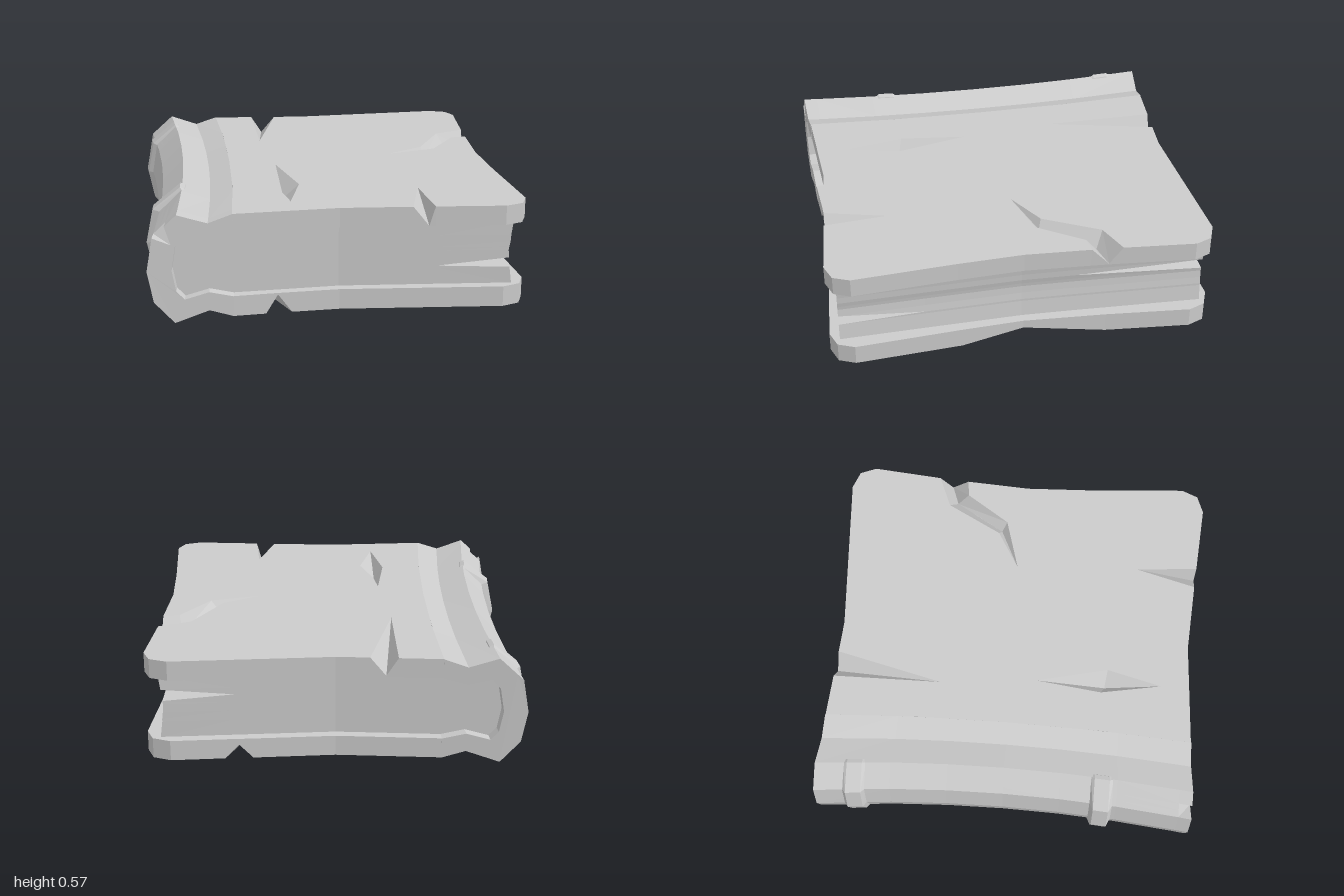
import * as THREE from 'three';

const material = new THREE.MeshStandardMaterial({ color: 0xcccccc, flatShading: true, side: THREE.DoubleSide });
const V = (x, y, z) => new THREE.Vector3(x, y, z);

// Solid skinned through closed rings and capped at both ends.
// u, v: the two axes the caps are flattened on; pit: a dent in the first cap.
function loft(name, rings, u, v, pit) {
  const pos = [];
  const tri = (a, b, c) => {
    const n = b.clone().sub(a).cross(c.clone().sub(a));
    if (n.length() > 1e-8) for (const p of [a, b, c]) pos.push(p.x, p.y, p.z);
  };
  const facing = (a, b, c, dir) => {
    const n = b.clone().sub(a).cross(c.clone().sub(a));
    n.dot(dir) < 0 ? tri(a, c, b) : tri(a, b, c);
  };
  const first = rings[0], last = rings[rings.length - 1];
  const dir = V(0, 0, 0), area = V(0, 0, 0);
  first.forEach((p, i) => {
    dir.add(last[i]).sub(p);
    area.add(p.clone().cross(first[(i + 1) % first.length]));
  });
  const flip = area.dot(dir) < 0;
  const face = (a, b, c) => (flip ? tri(a, c, b) : tri(a, b, c));

  // sides, split along the longer diagonal so cracks fold inwards
  for (let r = 0; r < rings.length - 1; r++) {
    const A = rings[r], B = rings[r + 1], n = A.length;
    for (let i = 0; i < n; i++) {
      const j = (i + 1) % n;
      if (A[i].distanceTo(B[j]) > A[j].distanceTo(B[i])) {
        face(A[i], A[j], B[j]);
        face(A[i], B[j], B[i]);
      } else {
        face(A[i], A[j], B[i]);
        face(A[j], B[j], B[i]);
      }
    }
  }
  // caps
  const cap = (ring, out, hole) => {
    const flat = (list) => list.map((p) => new THREE.Vector2(p[u], p[v]));
    const all = hole ? [...ring, ...hole] : ring;
    for (const [a, b, c] of THREE.ShapeUtils.triangulateShape(flat(ring), hole ? [flat(hole)] : []))
      facing(all[a], all[b], all[c], out);
  };
  const back = dir.clone().negate();
  cap(first, back, pit && pit.rim);
  cap(last, dir);
  if (pit) pit.rim.forEach((p, i) => facing(p, pit.rim[(i + 1) % pit.rim.length], pit.floor, back));

  const geo = new THREE.BufferGeometry();
  geo.setAttribute('position', new THREE.Float32BufferAttribute(pos, 3));
  geo.computeVertexNormals();
  const mesh = new THREE.Mesh(geo, material);
  mesh.name = name;
  return mesh;
}

// Cover board. Outline entries are [x, z], or for a V-notch
// [x, z, valleyX, valleyZ, depth 0..1, footX, footZ].
function board(name, outline, yOut, yIn, rim, floor) {
  const rings = [[], [], []];
  for (const [x, z, vx = x, vz = z, d = 0, fx = vx, fz = vz] of outline) {
    rings[0].push(V(x, yOut, z));
    rings[1].push(V(vx, yOut + (yIn - yOut) * d, vz));
    rings[2].push(V(fx, yIn, fz));
  }
  const pit = {
    rim: rim.map(([x, z]) => V(x, yOut, z)),
    floor: V(floor[0], yOut + (yIn - yOut) * 0.75, floor[1]),
  };
  return loft(name, rings, 'x', 'z', pit);
}

// Pinch that narrows the spine towards its middle
const pinch = (x, y, z) =>
  V(x * (0.935 + 0.065 * z * z), y, z * (0.935 + 0.065 * Math.min(1, Math.abs(x) / 0.93)));

export function createModel() {
  const book = new THREE.Group();
  book.name = 'book';

  const hingeEdge = [[-0.53, -0.97], [-0.504, -0.5], [-0.496, 0], [-0.504, 0.5], [-0.53, 0.97]];
  const frontCorner = [[0.82, 0.99], [0.91, 0.955], [0.945, 0.87]];
  const backCorner = frontCorner.map(([x, z]) => [x, -z]).reverse();

  // top board with a front, a right and a back notch
  const c = [0.91, -0.43];
  book.add(board('topBoard', [
    ...hingeEdge, [0, 0.935],
    [0.36, 0.957], [0.44, 0.64, 0.44, 0.962, 1], [0.47, 0.965],
    ...frontCorner, [0.905, 0.34], [0.888, 0],
    [0.905, -0.34], [0.905, -0.34, ...c, 0.95], [0.82, -0.33, 0.8, -0.39, 0.8, ...c],
    [0.67, -0.1, 0.63, -0.125, 0.45, ...c], [0.4, -0.02, 0.4, -0.02, 0, ...c],
    [0.6, -0.14, 0.63, -0.125, 0.45, ...c], [0.75, -0.43, 0.8, -0.39, 0.8, ...c],
    [0.915, -0.5, ...c, 0.95], [0.915, -0.5],
    ...backCorner, [0, -0.935],
    [-0.17, -0.945], [-0.3, -0.38, -0.25, -0.95, 0.95], [-0.31, -0.955],
  ], 0.55, 0.45, [[-0.25, 0.13], [-0.16, 0.51], [-0.23, 0.8], [-0.29, 0.48]], [-0.24, 0.5]));

  // bottom board with its own notches
  book.add(board('bottomBoard', [
    ...hingeEdge,
    [-0.37, 0.957], [-0.38, 0.6, -0.31, 0.952, 0.92], [-0.24, 0.948],
    [0, 0.935], ...frontCorner,
    [0.905, 0.32], [0.76, 0, 0.888, 0, 0.57], [0.91, -0.43],
    ...backCorner,
    [0.55, -0.971], [0.42, -0.66, 0.48, -0.967, 0.7], [0.41, -0.963],
    [0, -0.935],
  ], 0.02, 0.125, [[-0.31, 0.25], [-0.24, -0.2], [-0.3, -0.62], [-0.36, -0.16]], [-0.3, -0.18]));

  // spine: C-shaped section swept along z
  const section = [
    [-0.53, 0.55], [-0.65, 0.51], [-0.8, 0.56], [-0.86, 0.505], [-0.89, 0.4775], [-0.92, 0.45],
    [-0.95, 0.28], [-0.92, 0.12], [-0.82, 0.005], [-0.65, 0.06], [-0.53, 0.02],
    [-0.53, 0.125], [-0.65, 0.155], [-0.77, 0.125], [-0.81, 0.17], [-0.83, 0.28],
    [-0.81, 0.4], [-0.77, 0.45], [-0.65, 0.42], [-0.53, 0.45],
  ];
  const spineRings = [1, 0.93, 0.6, 0.3, 0, -0.3, -0.6, -1].map((z) =>
    section.map(([x, y], i) => (z === 1 && i === 4 ? pinch(-0.83, 0.41, z) : pinch(x, y, z))));
  book.add(loft('spine', spineRings, 'x', 'y'));

  // raised bands around the spine
  const bandSection = [
    [-0.76, 0.5], [-0.78, 0.55], [-0.8, 0.56], [-0.92, 0.45], [-0.95, 0.28],
    [-0.92, 0.12], [-0.82, 0.01], [-0.78, 0.02], [-0.76, 0.06],
  ];
  for (const [z0, z1, swell] of [[0.46, 0.58, 1.25], [-0.85, -0.73, 1.14]]) {
    const rings = [[z0, 1], [z0 + 0.02, swell], [z1 - 0.02, swell], [z1, 1]].map(([z, s]) =>
      bandSection.map(([x, y]) =>
        pinch(-0.76 + (x + 0.76) * s, 0.28 + (y - 0.28) * (s > 1 ? 1.03 : 0.99), z)));
    book.add(loft('spineBand', rings, 'x', 'y'));
  }

  // page block: stacked outlines, corners pulled in where the pages are split
  const layers = [
    [0.12, 0.012], [0.21, 0], [0.222, 0, 'front'], [0.26, -0.005], [0.3, -0.008],
    [0.32, -0.005], [0.345, 0, 'back'], [0.38, 0.002], [0.455, 0.012],
  ];
  const pageRings = layers.map(([y, dx, split]) => [
    [-0.86, 0.94], [0, 0.885], [0.49, 0.915],
    split === 'front' ? [0.66, 0.7] : [0.86 + dx, 0.94],
    [0.845 + dx, 0.5], [0.83 + dx, 0], [0.837 + dx, -0.28],
    split === 'back' ? [0.66, -0.6] : [0.86 + dx, -0.94],
    [0.5, -0.917], [0, -0.885], [-0.86, -0.94], [-0.81, 0],
  ].map(([x, z]) => V(x, y, z)));
  book.add(loft('pages', pageRings, 'x', 'z'));

  return book;
}
